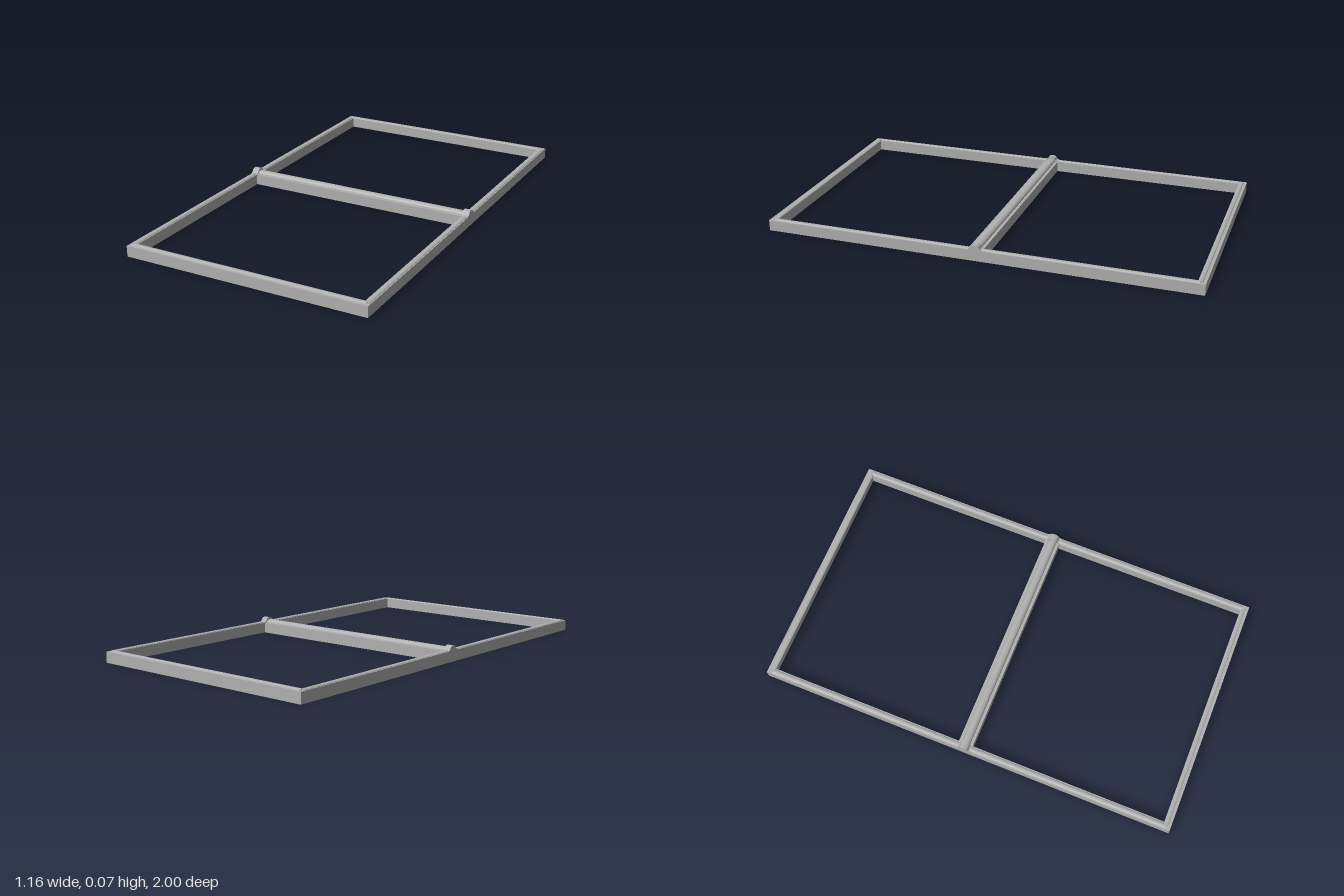
import * as THREE from 'three';

const HX = 0.58, HZ = 1, H = 0.05, RAIL = 0.032, BAR = 0.034;

export function createModel() {
  const group = new THREE.Group();
  const grey = new THREE.MeshStandardMaterial({ color: 0xb0b0b0 });
  grey.name = 'metalGrey';

  const add = (name, geometry) => {
    const mesh = new THREE.Mesh(geometry, grey);
    mesh.name = name;
    group.add(mesh);
    return mesh;
  };
  const rect = (Type, x0, y0, x1, y1) => new Type(
    [[x0, y0], [x1, y0], [x1, y1], [x0, y1]].map(p => new THREE.Vector2(...p)));

  // Profile extruded along its own centre line
  const bar = (shape, length) => new THREE.ExtrudeGeometry(shape,
    { depth: length, bevelEnabled: false, curveSegments: 10 }).translate(0, 0, -length / 2);
  const halfRound = (rx, ry) => new THREE.Shape().absellipse(0, 0, rx, ry, 0, Math.PI);

  // Flat frame with two openings and a middle rail
  const outline = rect(THREE.Shape, -HX, -HZ, HX, HZ);
  for (const s of [-1, 1]) {
    const a = s * BAR, b = s * (HZ - RAIL);
    outline.holes.push(rect(THREE.Path, -HX + RAIL, Math.min(a, b), HX - RAIL, Math.max(a, b)));
  }
  add('frame', new THREE.ExtrudeGeometry(outline, { depth: H, bevelEnabled: false }).rotateX(-Math.PI / 2));

  // Low beads on the outer rails
  const bead = halfRound(0.011, 0.005);
  const bx = HX - RAIL / 2, bz = HZ - 0.025;
  for (const s of [-1, 1]) {
    add('sideBead', bar(bead, 2 * bz)).position.set(s * bx, H, 0);
    add('endBead', bar(bead, 2 * bx).rotateY(Math.PI / 2)).position.set(0, H, s * bz);
  }

  // Raised rod on the middle rail
  add('crossRod', bar(halfRound(0.02, 0.015), 1.1).rotateY(Math.PI / 2)).position.y = H - 0.001;

  // Arched brackets with flared feet holding the rod ends
  const arch = new THREE.Shape();
  arch.moveTo(-0.034, 0);
  arch.lineTo(0.034, 0);
  arch.lineTo(0.034, 0.003);
  arch.quadraticCurveTo(0.024, 0.004, 0.021, 0.012);
  arch.bezierCurveTo(0.016, 0.027, -0.016, 0.027, -0.021, 0.012);
  arch.quadraticCurveTo(-0.024, 0.004, -0.034, 0.003);
  arch.closePath();
  for (const s of [-1, 1]) {
    add('rodBracket', bar(arch, 0.033).rotateY(Math.PI / 2)).position.set(s * (HX - 0.0165), H, 0);
  }
  return group;
}
